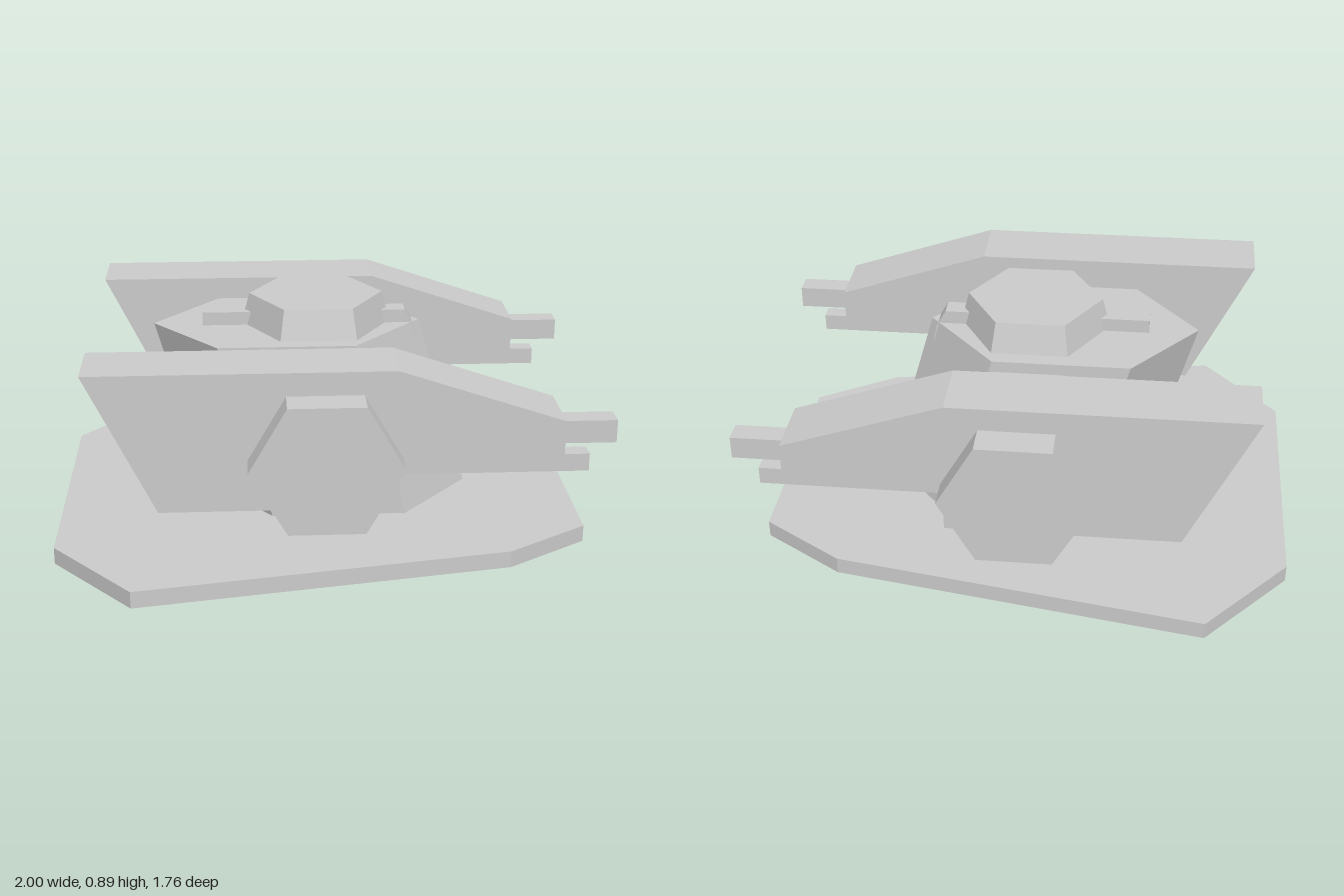
import * as THREE from 'three';

const solid = new THREE.MeshStandardMaterial({ color: 0xcccccc, flatShading: true });
const open = new THREE.MeshStandardMaterial({ color: 0xcccccc, flatShading: true, side: THREE.DoubleSide });

// Prism between two counter-clockwise outlines in xy, from z0 to z1.
// Sides listed in skip are left open; bottom can be left open too.
function prism(low, high, z0, z1, { skip = [], bottom = true } = {}) {
  const lo = low.map(([x, y]) => [x, y, z0]);
  const hi = high.map(([x, y]) => [x, y, z1]);
  const pos = [];
  const tri = (...corners) => corners.forEach((c) => pos.push(...c));
  lo.forEach((a, i) => {
    if (skip.includes(i)) return;
    const j = (i + 1) % lo.length;
    tri(a, lo[j], hi[j]);
    tri(a, hi[j], hi[i]);
  });
  const flat = high.map(([x, y]) => new THREE.Vector2(x, y));
  for (const [a, b, c] of THREE.ShapeUtils.triangulateShape(flat, [])) {
    tri(hi[a], hi[b], hi[c]);
    if (bottom) tri(lo[c], lo[b], lo[a]);
  }
  const geo = new THREE.BufferGeometry();
  geo.setAttribute('position', new THREE.Float32BufferAttribute(pos, 3));
  geo.computeVertexNormals();
  return geo;
}

// Same prism standing upright along y
const upright = (...args) => prism(...args).rotateX(-Math.PI / 2);

const hexagon = (cx, cy, r) => Array.from({ length: 6 }, (_, i) => [
  cx + r * Math.cos((i * Math.PI) / 3),
  cy + r * Math.sin((i * Math.PI) / 3),
]);

// Square bar along x, from x0 to x1
const bar = (x0, x1, y, size) => new THREE.BoxGeometry(x1 - x0, size, size).translate((x0 + x1) / 2, y, 0);

export function createModel() {
  const model = new THREE.Group();
  const add = (name, geo, mat = solid, parent = model) => {
    const mesh = new THREE.Mesh(geo, mat);
    mesh.name = name;
    parent.add(mesh);
  };

  // Flat angular base plate, hollow underneath
  const half = [[0.942, 0.448], [0.64, 0.645], [-0.705, 0.88], [-1, 0.53]];
  const plate = [...half, ...half.map(([x, y]) => [x, -y]).reverse()];
  add('basePlate', upright(plate, plate, 0.042, 0.105, { bottom: false }), open);

  // Leaning six-sided hull, open underneath
  const foot = [[0.583, 0], [0.323, 0.303], [-0.178, 0.303], [-0.418, 0], [-0.178, -0.303], [0.323, -0.303]];
  const roof = foot.map(([x, y]) => [x - 0.222, y]);
  add('hull', upright(foot, roof, 0, 0.775, { bottom: false }), open);

  // Narrow spine running down through the hull, open underneath
  const spine = [[-0.457, 0.08], [0.345, 0.08], [0.355, 0.69], [0.342, 0.76], [0.305, 0.825], [-0.457, 0.825]];
  add('spine', prism(spine, spine, -0.037, 0.037, { skip: [0] }), open);

  // Tapered turret cap
  add('turret', upright(hexagon(-0.03, 0, 0.28), hexagon(-0.03, 0, 0.25), 0.775, 0.888));

  // Hexagonal axle through both pods
  const axle = hexagon(-0.03, 0.5, 0.268);
  add('axle', prism(axle, axle, -0.808, 0.808));

  // Side pods: shells open at the front and below, each with two square barrels
  const profile = [[-0.61, 0.31], [0.23, 0.31], [0.23, 0.47], [0.8, 0.47], [0.8, 0.622], [0.22, 0.816], [-0.857, 0.816]];
  for (const [name, s] of [['rearPod', -1], ['nearPod', 1]]) {
    const pod = new THREE.Group();
    pod.name = name;
    pod.position.z = s * 0.568;
    add('podShell', prism(profile, profile, -0.123, 0.123, { skip: [0, 1, 2, 3] }), open, pod);
    add('upperBarrel', bar(-0.6, 1, 0.548, 0.084), solid, pod);
    add('lowerBarrel', bar(-0.6, 0.91, 0.428, 0.065), solid, pod);
    model.add(pod);
  }
  return model;
}
